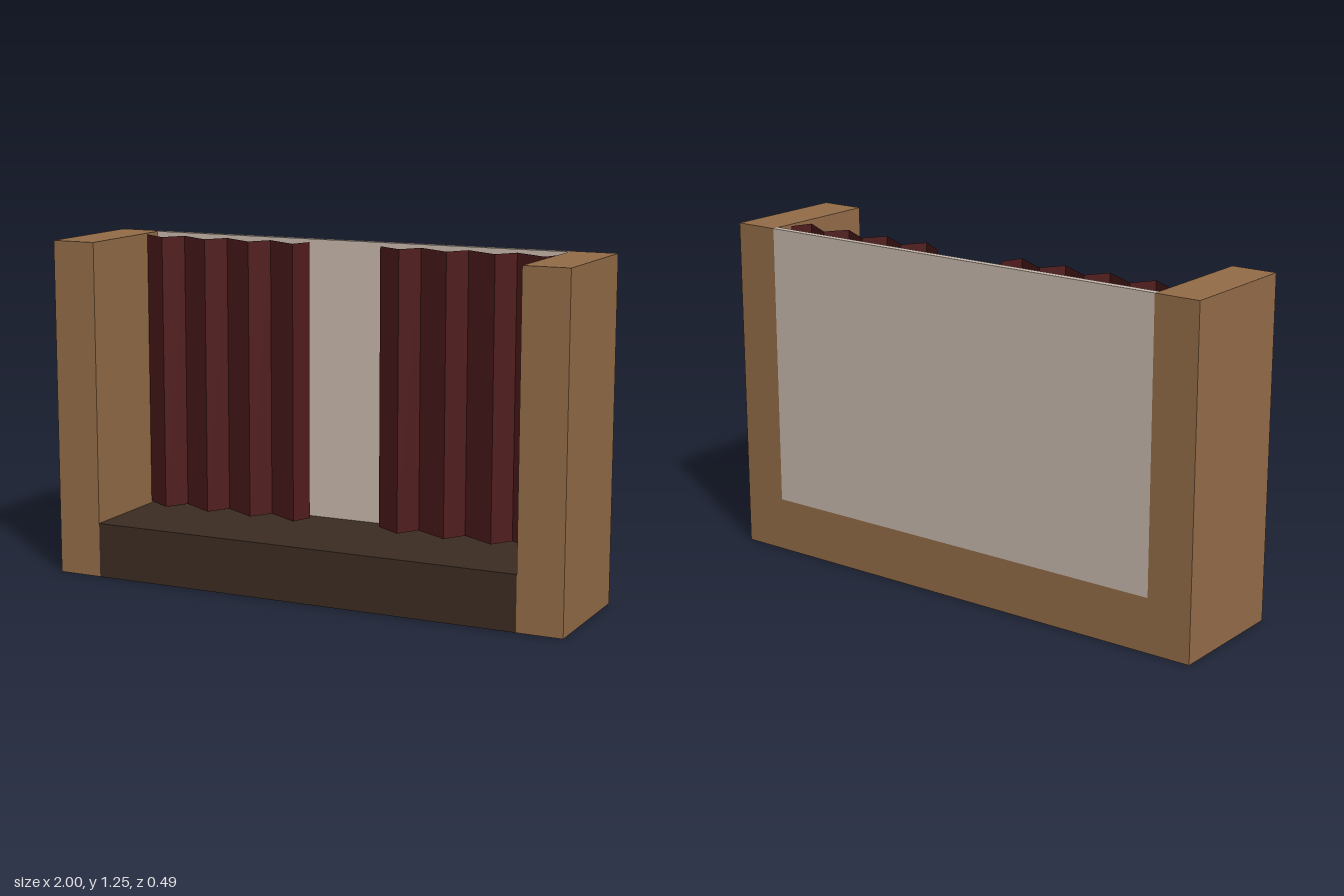
import * as THREE from 'three';

const W = 1, INNER = 0.83, H = 1.255, D = 0.243, FLOOR = 0.205, WALL = 0.028, SKIN = 0.004;

const material = (color, extra = {}) => new THREE.MeshStandardMaterial({ color, flatShading: true, ...extra });
const wood = material(0x946c48);
const darkWood = material(0x3b2c22);
const plaster = material(0xc8b8ac);
const cloth = material(0x501c1c, { side: THREE.DoubleSide });

// Box given by its minimum and maximum corners
function box(name, mat, min, max) {
  const size = max.map((v, i) => v - min[i]);
  const mesh = new THREE.Mesh(new THREE.BoxGeometry(...size), mat);
  mesh.position.set(...min.map((v, i) => (v + max[i]) / 2));
  mesh.name = name;
  return mesh;
}

// Zigzag cloth: one upright strip per fold between plan points [x, z]
function pleatedCurtain(name, plan, bottom, top) {
  const positions = [];
  for (let i = 0; i < plan.length - 1; i++) {
    const [x0, z0] = plan[i], [x1, z1] = plan[i + 1];
    positions.push(x0, bottom, z0, x1, bottom, z1, x1, top, z1);
    positions.push(x0, bottom, z0, x1, top, z1, x0, top, z0);
  }
  const geometry = new THREE.BufferGeometry();
  geometry.setAttribute('position', new THREE.Float32BufferAttribute(positions, 3));
  geometry.computeVertexNormals();
  const mesh = new THREE.Mesh(geometry, cloth);
  mesh.name = name;
  return mesh;
}

export function createModel() {
  const group = new THREE.Group();
  group.name = 'curtainedStage';

  // Wooden side posts and base
  for (const [side, s] of [['left', 1], ['right', -1]]) {
    const xs = [s * INNER, s * W].sort((a, b) => a - b);
    group.add(box(side + 'Post', wood, [xs[0], 0, -D], [xs[1], H, D]));
  }
  group.add(box('base', wood, [-INNER, 0, -D], [INNER, FLOOR - SKIN, D - SKIN]));

  // Dark stage floor and front panel
  group.add(box('stageFloor', darkWood, [-INNER, FLOOR - SKIN, -D + WALL], [INNER, FLOOR, D]));
  group.add(box('frontPanel', darkWood, [-INNER, 0, D - SKIN], [INNER, FLOOR - SKIN, D]));

  // Pale back wall
  group.add(box('backWall', plaster, [-INNER, FLOOR - SKIN, -D], [INNER, H, -D + WALL]));

  // Two matching curtains: long slope forward, short return behind
  const valley = -0.154, peak = -0.075;
  const plan = [[-0.83, -0.14]];
  for (let i = 0; i < 4; i++) {
    const x = -0.728 + i * 0.183;
    plan.push([x, peak], [i < 3 ? x + 0.052 : -0.15, valley]);
  }
  group.add(pleatedCurtain('rightCurtain', plan, 0.212, 1.25));
  const leftCurtain = pleatedCurtain('leftCurtain', plan, 0.212, 1.25);
  leftCurtain.position.x = 0.972;
  group.add(leftCurtain);

  return group;
}
